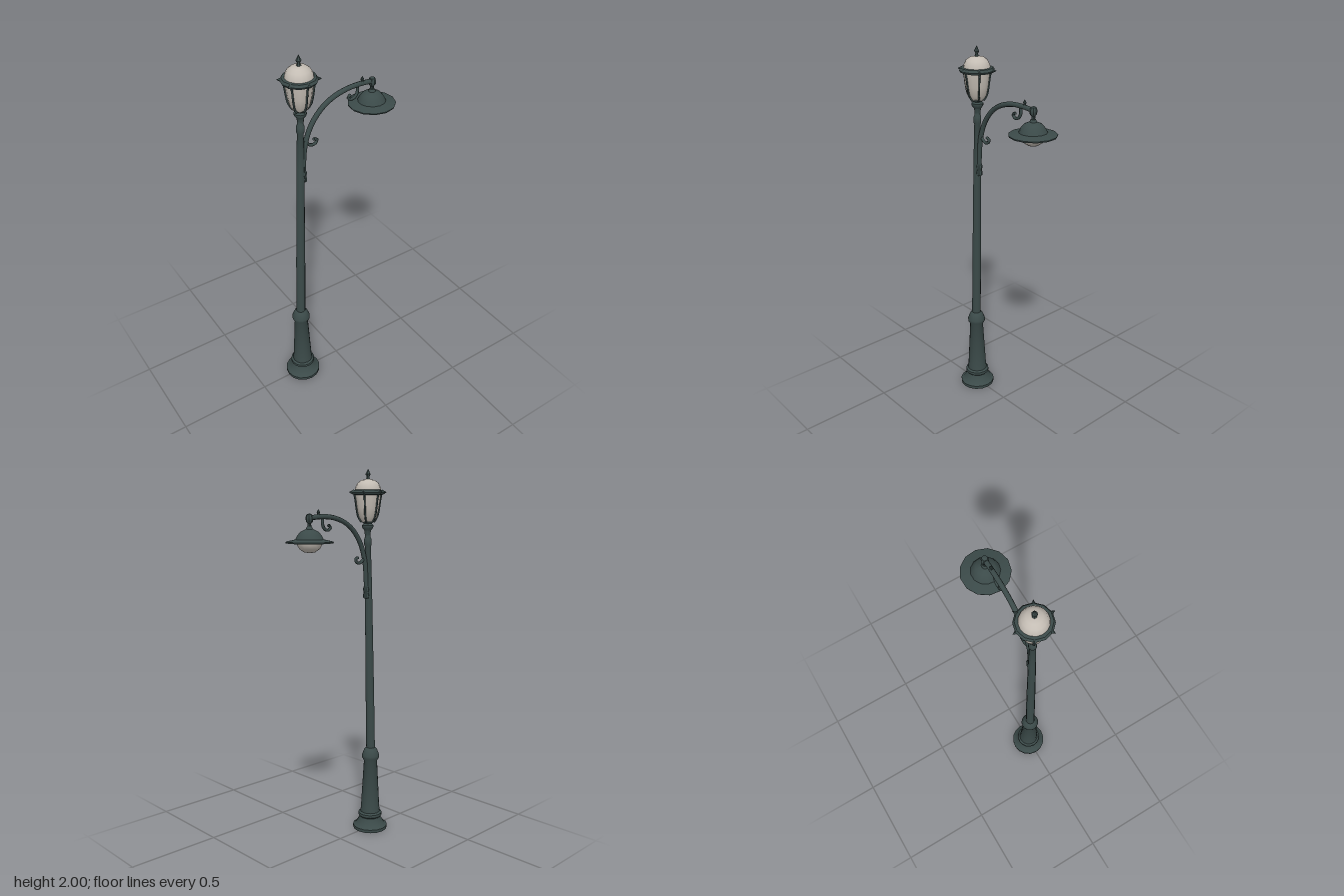
import * as THREE from 'three';
import { toCreasedNormals } from 'three/addons/utils/BufferGeometryUtils.js';

const iron = new THREE.MeshStandardMaterial({ color: 0x3b4a49, side: THREE.DoubleSide });
iron.name = 'dark green iron';
const glass = new THREE.MeshStandardMaterial({ color: 0xc4bdb4, side: THREE.DoubleSide });
glass.name = 'frosted glass';

export function createModel() {
  const root = new THREE.Group();
  root.name = 'streetLamp';
  const LANTERN_X = -0.2, BASE_X = -0.237, SHADE_X = 0.21;

  const add = (name, geometry, material, x = 0, parent = root) => {
    const mesh = new THREE.Mesh(geometry, material);
    mesh.name = name;
    mesh.position.x = x;
    parent.add(mesh);
    return mesh;
  };
  // profile is a list of [radius, height], from bottom to top
  const turned = (profile, sides = 12) => toCreasedNormals(
    new THREE.LatheGeometry(profile.map(([r, y]) => new THREE.Vector2(r, y)), sides), 0.7);
  const tube = (points, radius, steps = 12, sides = 6) => new THREE.TubeGeometry(
    new THREE.CatmullRomCurve3(points.map(([x, y, z = 0]) => new THREE.Vector3(x, y, z))),
    steps, radius, sides);

  // Flared foot and tapered pedestal
  add('pedestal', turned([
    [0, 0], [0.096, 0], [0.097, 0.018], [0.083, 0.026], [0.062, 0.06], [0.06, 0.07],
    [0.067, 0.078], [0.066, 0.092], [0.055, 0.1], [0.052, 0.13], [0.037, 0.4],
    [0.048, 0.42], [0.049, 0.435], [0.036, 0.468], [0.025, 0.48],
  ], 16), iron, BASE_X);

  // Slender pole, leaning slightly toward the arm
  const pole = turned([
    [0.025, 0.47], [0.024, 0.8], [0.0195, 1.4], [0.016, 1.6], [0.02, 1.61], [0.02, 1.64],
    [0.015, 1.65], [0.015, 1.7],
  ]);
  pole.applyMatrix4(new THREE.Matrix4().makeShear(0, 0, 0.03, 0, 0, 0));
  add('pole', pole, iron, BASE_X - 0.03 * 0.47);

  // Lantern on top of the pole
  const lantern = new THREE.Group();
  lantern.name = 'lantern';
  lantern.position.x = LANTERN_X;
  root.add(lantern);
  add('lanternCup', turned([
    [0.015, 1.66], [0.018, 1.685], [0.03, 1.7], [0.031, 1.712], [0.022, 1.72], [0.038, 1.735], [0, 1.735],
  ]), iron, 0, lantern);
  add('lanternGlass', turned([
    [0.034, 1.73], [0.05, 1.755], [0.06, 1.8], [0.066, 1.845], [0.069, 1.875],
  ]), glass, 0, lantern);
  add('lanternRim', turned([
    [0.066, 1.866], [0.084, 1.87], [0.09, 1.88], [0.082, 1.892], [0.066, 1.894], [0.066, 1.866],
  ]), iron, 0, lantern);
  add('lanternDome', turned([
    [0.069, 1.885], [0.066, 1.905], [0.055, 1.928], [0.036, 1.942], [0, 1.95],
  ], 16), glass, 0, lantern);
  add('finial', turned([
    [0.016, 1.942], [0.009, 1.952], [0.007, 1.96], [0.014, 1.972], [0.007, 1.986], [0, 2],
  ], 6), iron, 0, lantern);

  // Six ribs with pointed tips around the rim
  for (let i = 0; i < 6; i++) {
    const rib = new THREE.Group();
    rib.name = 'lanternRib';
    rib.rotation.y = Math.PI / 6 + i * Math.PI / 3;
    lantern.add(rib);
    add('ribBar', tube([[0.034, 1.728], [0.052, 1.755], [0.062, 1.8], [0.068, 1.845], [0.075, 1.875]],
      0.005, 8, 5), iron, 0, rib);
    const tip = add('ribTip', new THREE.ConeGeometry(0.014, 0.026, 4), iron, 0.09, rib);
    tip.position.y = 1.881;
    tip.rotation.z = -Math.PI / 2;
  }

  // Curved arm, its mounting bracket and scrolls
  add('arm', tube([
    [-0.193, 1.35], [-0.19, 1.43], [-0.178, 1.53], [-0.145, 1.62], [-0.09, 1.69],
    [-0.03, 1.73], [0.05, 1.755], [0.13, 1.761], [0.21, 1.756],
  ], 0.0125, 28, 8), iron);
  add('armFoot', turned([
    [0, 1.325], [0.015, 1.327], [0.017, 1.345], [0.013, 1.358], [0.018, 1.375], [0.013, 1.39],
  ], 8), iron, -0.192);
  add('lowerScroll', tube([
    [-0.18, 1.555], [-0.163, 1.53], [-0.14, 1.517], [-0.118, 1.522], [-0.112, 1.54], [-0.13, 1.546],
  ], 0.008), iron);
  add('upperScroll', tube([
    [0.122, 1.755], [0.122, 1.72], [0.106, 1.698], [0.082, 1.694], [0.068, 1.71], [0.084, 1.718],
  ], 0.008), iron);
  add('armSpike', turned([[0.01, 1.768], [0.006, 1.775], [0.009, 1.783], [0, 1.798]], 6), iron, 0.15);

  // Hanging lamp: stem, bell shade, pale underside and globe
  add('lampStem', turned([
    [0.009, 1.685], [0.009, 1.73], [0.017, 1.738], [0.019, 1.758], [0.014, 1.772], [0, 1.778],
  ], 8), iron, SHADE_X);
  add('lampShade', turned([
    [0.095, 1.635], [0.118, 1.634], [0.12, 1.641], [0.07, 1.652], [0.06, 1.672],
    [0.045, 1.69], [0.018, 1.702], [0.012, 1.715], [0, 1.715],
  ], 13), iron, SHADE_X);
  add('shadeLining', turned([[0.06, 1.64], [0.097, 1.635]], 13), glass, SHADE_X);
  add('lampGlobe', turned([
    [0, 1.585], [0.028, 1.59], [0.05, 1.605], [0.062, 1.625], [0.065, 1.642],
  ], 13), glass, SHADE_X);

  return root;
}
